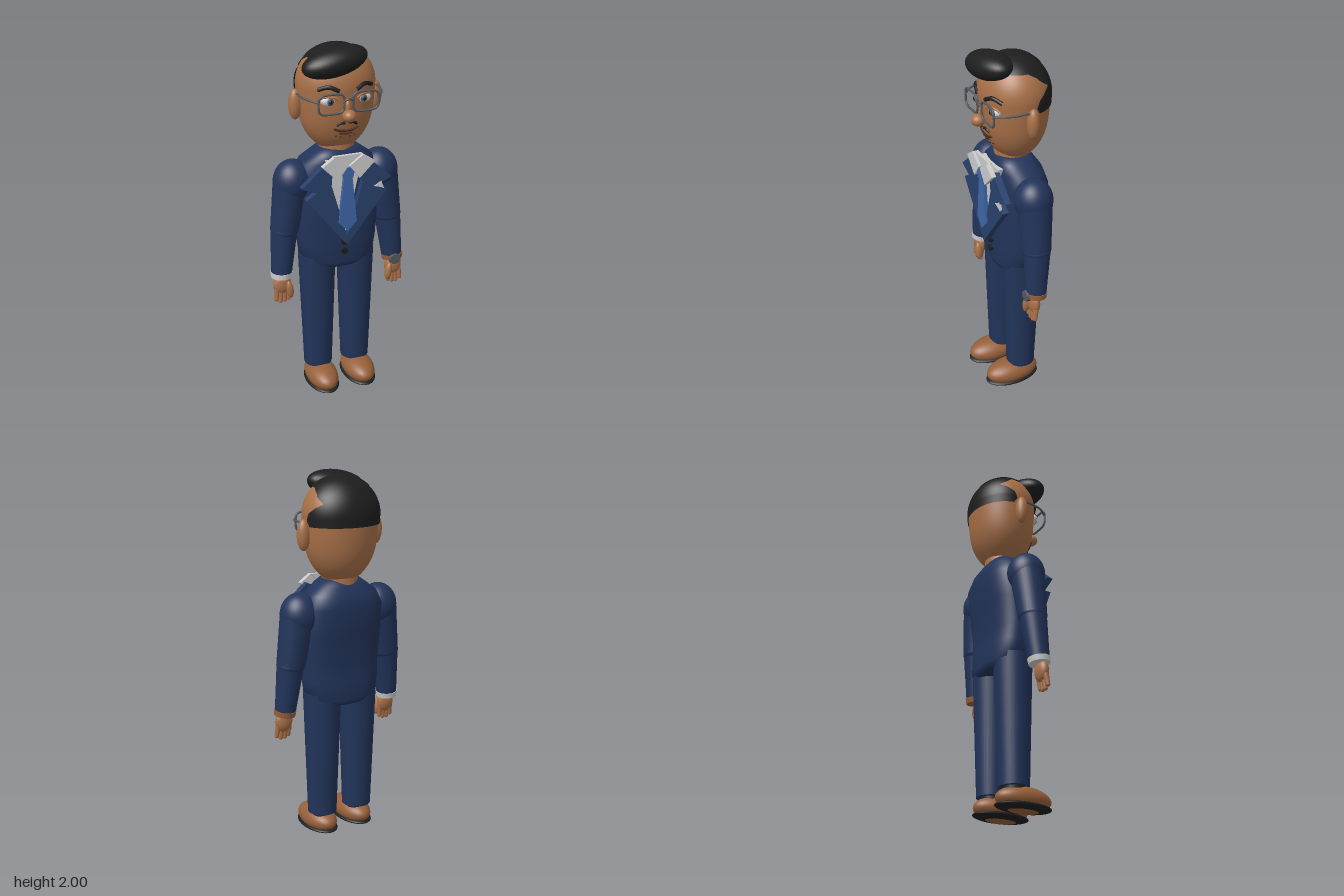
import * as THREE from 'three';
import { mergeVertices } from 'three/addons/utils/BufferGeometryUtils.js';

const mat = (color) => new THREE.MeshStandardMaterial({ color, side: THREE.DoubleSide });
const skin = mat(0xa87048), navy = mat(0x22345a), lapelBlue = mat(0x28416c), tieBlue = mat(0x3f66a8);
const black = mat(0x1e1e1e), white = mat(0xdedede), leather = mat(0x96603a), metal = mat(0x55585e);
const lipBrown = mat(0x4a2a1c);
const V = (x, y, z) => new THREE.Vector3(x, y, z);

export function createModel() {
  const model = new THREE.Group();
  const add = (name, geo, material, parent = model) => {
    const m = new THREE.Mesh(geo, material);
    m.name = name;
    parent.add(m);
    return m;
  };
  const group = (name) => {
    const g = new THREE.Group();
    g.name = name;
    model.add(g);
    return g;
  };
  const ellipsoid = (name, p, r, material, parent) => {
    const m = add(name, new THREE.SphereGeometry(1, 36, 24), material, parent);
    m.position.set(...p);
    m.scale.set(...r);
    return m;
  };
  // tapered cylinder from point a to point b
  const limb = (name, a, b, ra, rb, material, parent) => {
    const m = add(name, new THREE.CylinderGeometry(rb, ra, a.distanceTo(b), 32), material, parent);
    m.position.copy(a).lerp(b, 0.5);
    m.quaternion.setFromUnitVectors(V(0, 1, 0), b.clone().sub(a).normalize());
    return m;
  };
  // flat outline extruded forward from z
  const plate = (name, pts, z, depth, material, parent, side = 1) => {
    const shape = new THREE.Shape(pts.map(([x, y]) => new THREE.Vector2(x * side, y)));
    const m = add(name, new THREE.ExtrudeGeometry(shape, { depth, bevelEnabled: false }), material, parent);
    m.position.z = z;
    return m;
  };
  const tube = (name, pts, r, material, parent, closed = false) =>
    add(name, new THREE.TubeGeometry(new THREE.CatmullRomCurve3(pts, closed), 48, r, 10, closed), material, parent);
  // smooth grid surface, u runs around and v runs up
  const surface = (nu, nv, fn) => {
    const pos = [], idx = [];
    for (let j = 0; j <= nv; j++) for (let i = 0; i <= nu; i++) {
      pos.push(...fn(i / nu, j / nv));
      if (i < nu && j < nv) {
        const a = j * (nu + 1) + i, b = a + nu + 1;
        idx.push(a, a + 1, b + 1, a, b + 1, b);
      }
    }
    let geo = new THREE.BufferGeometry();
    geo.setAttribute('position', new THREE.Float32BufferAttribute(pos, 3));
    geo.setIndex(idx);
    geo = mergeVertices(geo, 1e-5);
    geo.computeVertexNormals();
    return geo;
  };
  // linear lookup in rows sorted by their first value
  const lookup = (rows, y) => {
    let k = 0;
    while (k < rows.length - 2 && rows[k + 1][0] < y) k++;
    const t = THREE.MathUtils.clamp((y - rows[k][0]) / (rows[k + 1][0] - rows[k][0]), 0, 1);
    return rows[k].map((v, i) => v + (rows[k + 1][i] - v) * t);
  };

  // Head: rounded crown above, tapering to the jaw below
  const widest = 1.78, headZ = -0.025;
  const girth = (y) => {
    if (y > widest) return Math.sqrt(Math.max(0, 1 - ((y - widest) / 0.2) ** 2));
    const t = (widest - y) / 0.335;
    return 1 - 0.1 * t - 0.45 * t ** 4;
  };
  const headPoint = (a, y, s = 1) => [0.21 * s * girth(y) * Math.sin(a), y, headZ + 0.182 * s * girth(y) * Math.cos(a)];
  const faceZ = (x, y) => headZ + 0.182 * girth(y) * Math.sqrt(1 - (x / (0.21 * girth(y))) ** 2);
  const onFace = (x, y, out = 0.003) => V(x, y, faceZ(x, y) + out);
  const crownY = (v, from) => from + (1.98 - from) * Math.sin(v * Math.PI / 2);
  const head = group('head');
  add('skull', surface(64, 48, (u, v) => headPoint((u * 2 - 1) * Math.PI, crownY(v, 1.445))), skin, head);
  limb('neck', V(0, 1.4, -0.018), V(0, 1.49, -0.018), 0.1, 0.095, skin, head);

  // Hair: full cap on top, jagged temples and a straight nape
  add('hairCap', surface(64, 16, (u, v) => {
    const p = headPoint((u * 2 - 1) * Math.PI, crownY(v, 1.92), 1.03);
    p[1] += 0.004;
    return p;
  }), black, head);
  const hairFront = [[1.73, 102], [1.76, 96], [1.8, 101], [1.83, 114], [1.85, 127], [1.88, 112], [1.9, 106], [1.926, 88]];
  add('hairBack', surface(64, 40, (u, v) => {
    const y = 1.73 + 0.196 * v, a = THREE.MathUtils.degToRad(lookup(hairFront, y)[1]);
    return headPoint(a + u * 2 * (Math.PI - a), y, 1.03);
  }), black, head);
  ellipsoid('quiff', [-0.045, 1.92, 0.088], [0.177, 0.075, 0.097], black, head).rotation.set(0, 0.06, 0.17);

  // Face
  ellipsoid('nose', [0, 1.657, 0.174], [0.036, 0.032, 0.038], skin, head);
  ellipsoid('noseBridge', [0, 1.69, 0.152], [0.018, 0.045, 0.02], skin, head);
  for (const s of [-1, 1]) {
    ellipsoid('ear', [s * 0.22, 1.685, -0.022], [0.036, 0.082, 0.034], skin, head);
    ellipsoid('eye', [s * 0.093, 1.732, 0.124], [0.042, 0.028, 0.026], white, head);
    ellipsoid('iris', [s * 0.09, 1.732, 0.144], [0.019, 0.02, 0.01], metal, head);
    ellipsoid('pupil', [s * 0.09, 1.732, 0.15], [0.01, 0.011, 0.007], black, head);
    tube('upperLid', [-0.042, -0.02, 0.02, 0.042].map((d) =>
      onFace(s * 0.093 + d, 1.758 - 8 * d * d, 0.008)), 0.006, skin, head);
    tube('eyebrow', [onFace(s * 0.045, 1.785), onFace(s * 0.095, 1.806), onFace(s * 0.145, 1.79)], 0.011, black, head);
    tube('moustache', [onFace(s * 0.01, 1.612), onFace(s * 0.032, 1.612), onFace(s * 0.055, 1.6)], 0.007, black, head);
    for (const [x, y] of [[0.05, 1.535], [0.025, 1.53]]) {
      ellipsoid('stubble', onFace(s * x, y).toArray(), [0.004, 0.004, 0.004], black, head);
    }
  }
  tube('mouth', [onFace(-0.065, 1.58), onFace(-0.03, 1.568), onFace(0.03, 1.568), onFace(0.065, 1.58)], 0.006, lipBrown, head);
  tube('lowerLip', [onFace(-0.035, 1.553), onFace(0, 1.548), onFace(0.035, 1.553)], 0.005, lipBrown, head);

  // Glasses
  const glasses = group('glasses');
  for (const s of [-1, 1]) {
    const rim = [];
    for (let i = 0; i < 32; i++) {
      const c = Math.cos(i * Math.PI / 16), d = Math.sin(i * Math.PI / 16);
      rim.push(V(s * 0.092 + 0.069 * Math.sign(c) * Math.abs(c) ** 0.5, 1.725 + 0.051 * Math.sign(d) * Math.abs(d) ** 0.5, 0.166));
    }
    tube('rim', rim, 0.006, metal, glasses, true);
    tube('temple', [V(s * 0.16, 1.74, 0.166), V(s * 0.195, 1.745, 0.12), V(s * 0.212, 1.745, 0.07),
      V(s * 0.218, 1.745, 0), V(s * 0.218, 1.73, -0.025)], 0.006, metal, glasses);
  }
  tube('bridge', [V(-0.025, 1.735, 0.166), V(0, 1.745, 0.17), V(0.025, 1.735, 0.166)], 0.006, metal, glasses);

  // Jacket body: height, half width, front z, back z
  const jacket = group('jacket');
  const rows = [[0.765, 0, 0, -0.04], [0.766, 0.135, 0.09, -0.13], [0.8, 0.205, 0.105, -0.145], [0.9, 0.22, 0.105, -0.138],
    [1.0, 0.226, 0.106, -0.132], [1.15, 0.235, 0.105, -0.15], [1.3, 0.232, 0.103, -0.17], [1.37, 0.2, 0.1, -0.148],
    [1.42, 0.135, 0.095, -0.115], [1.445, 0.1, 0.075, -0.095], [1.446, 0, 0, -0.02]];
  const power = (c) => Math.sign(c) * Math.abs(c) ** 0.8;
  add('jacketBody', surface(64, rows.length - 1, (u, v) => {
    const [y, w, f, b] = rows[Math.round(v * (rows.length - 1))], a = (u * 2 - 1) * Math.PI;
    return [w * power(Math.sin(a)), y, (f + b) / 2 + (f - b) / 2 * power(Math.cos(a))];
  }), navy, jacket);
  plate('shirtFront', [[-0.1, 1.4], [0, 0.95], [0.1, 1.4]], 0.085, 0.027, white, jacket);
  for (const s of [-1, 1]) {
    plate('lapel', [[0.12, 1.4], [0.25, 1.285], [0.17, 1.25], [0.225, 1.215], [0.004, 0.93], [0, 0.975],
      [0.088, 1.28], [0.08, 1.38]], 0.117, 0.037, lapelBlue, jacket, s);
    plate('collarFlap', [[0.08, 1.44], [0.145, 1.395], [0.06, 1.31], [0.005, 1.385]], 0.148, 0.026, white, jacket, s);
  }
  plate('collarBand', [[-0.08, 1.44], [0.08, 1.44], [0.03, 1.375], [-0.03, 1.375]], 0.14, 0.018, white, jacket);
  plate('tieKnot', [[-0.037, 1.375], [0.037, 1.375], [0.024, 1.315], [-0.024, 1.315]], 0.145, 0.027, tieBlue, jacket);
  plate('tie', [[-0.023, 1.32], [0.023, 1.32], [0.05, 1.065], [0, 1.01], [-0.05, 1.065]], 0.145, 0.02, tieBlue, jacket);
  plate('pocketSquare', [[0.15, 1.245], [0.19, 1.268], [0.205, 1.225], [0.185, 1.235]], 0.145, 0.015, white, jacket);
  for (const y of [0.925, 0.87]) {
    limb('button', V(0, y, 0.1), V(0, y, 0.122), 0.018, 0.018, black, jacket);
  }

  for (const s of [-1, 1]) {
    // Arms
    const arm = group(s > 0 ? 'leftArm' : 'rightArm');
    ellipsoid('shoulder', [s * 0.245, 1.268, -0.014], [0.104, 0.118, 0.102], navy, arm);
    limb('upperArm', V(s * 0.258, 1.25, -0.014), V(s * 0.297, 1.0, -0.008), 0.093, 0.077, navy, arm);
    ellipsoid('elbow', [s * 0.297, 1.0, -0.008], [0.077, 0.05, 0.077], navy, arm);
    limb('forearm', V(s * 0.3, 1.0, -0.008), V(s * 0.326, 0.74, 0.008), 0.073, 0.056, navy, arm);
    limb('cuff', V(s * 0.326, 0.752, 0.007), V(s * 0.328, 0.722, 0.01), 0.06, 0.057, s > 0 ? leather : white, arm);
    if (s > 0) limb('watchFace', V(0.322, 0.737, 0.05), V(0.322, 0.737, 0.074), 0.033, 0.03, metal, arm);
    // Hand with four fingers and a thumb
    ellipsoid('palm', [s * 0.328, 0.683, 0.022], [0.05, 0.06, 0.03], skin, arm);
    [[-0.034, 0.598], [-0.012, 0.588], [0.012, 0.587], [0.036, 0.6]].forEach(([dx, y]) => {
      const tip = V(s * (0.331 + dx), y, 0.033), root = V(s * (0.328 + dx * 0.9), 0.66, 0.025);
      limb('finger', root, tip, 0.016, 0.012, skin, arm);
      ellipsoid('fingertip', tip.toArray(), [0.012, 0.012, 0.012], skin, arm);
    });
    ellipsoid('thumb', [s * 0.292, 0.655, 0.046], [0.02, 0.052, 0.022], skin, arm).rotation.z = -s * 0.15;

    // Legs and shoes
    const leg = group(s > 0 ? 'leftLeg' : 'rightLeg');
    limb('trouserLeg', V(s * 0.112, 0.125, -0.014), V(s * 0.112, 0.83, -0.018), 0.08, 0.104, navy, leg);
    limb('ankle', V(s * 0.112, 0.07, -0.014), V(s * 0.112, 0.14, -0.014), 0.06, 0.06, black, leg);
    ellipsoid('shoe', [s * 0.112, 0.068, 0.04], [0.087, 0.068, 0.157], leather, leg);
    ellipsoid('sole', [s * 0.112, 0.03, 0.04], [0.091, 0.022, 0.16], black, leg);
  }
  return model;
}
